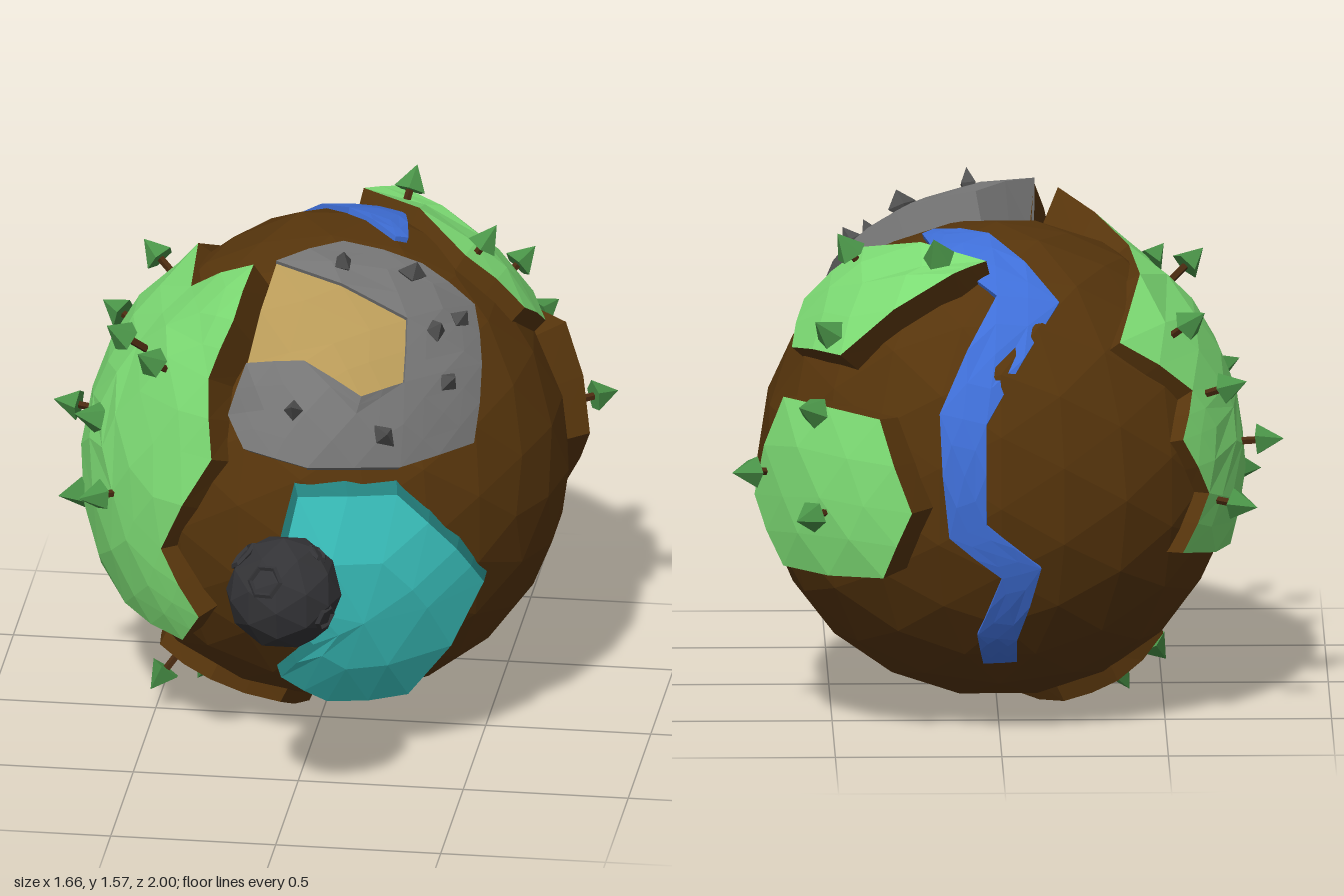
import * as THREE from 'three';

const BROWN = 0x57350c, GREEN = 0x7ddc74, TEAL = 0x3cc8c4, DEEP_TEAL = 0x23807d, GREY = 0x777777,
  SAND = 0xb89a58, BLUE = 0x3f6fd8, LEAF = 0x4a9448, TRUNK = 0x4a2a10, DARK = 0x333336, ROCK = 0x505050;

const V = (p) => new THREE.Vector3(...p);
const UP = new THREE.Vector3(0, 1, 0);

function mesh(name, geometry, color) {
  const m = new THREE.Mesh(geometry, new THREE.MeshStandardMaterial({ color, flatShading: true }));
  m.name = name;
  return m;
}

function facets(triangles) {
  const g = new THREE.BufferGeometry().setFromPoints(triangles.flat());
  g.computeVertexNormals();
  return g;
}

// ground radius: a sphere with a gentle rise at the upper back
const RISE = new THREE.Vector3(0.1, 0.77, -0.63).normalize();
const ground = (p) => 0.72 * (1 + 0.07 * Math.max(0, (p.clone().normalize().dot(RISE) - 0.75) / 0.25));

// midpoint that keeps to the curve of the planet
const mid = (a, b) => a.clone().add(b).setLength((a.length() + b.length()) / 2);
const next = (loop, i) => loop[(i + 1) % loop.length];
const splitLoop = (loop) => loop.flatMap((p, i) => [p, mid(p, next(loop, i))]);
const splitFaces = (faces) => faces.flatMap(([a, b, c]) => {
  const ab = mid(a, b), bc = mid(b, c), ca = mid(c, a);
  return [[a, ab, ca], [ab, b, bc], [ca, bc, c], [ab, bc, ca]];
});

// raised plate on the planet: a curved fan of faces with slanted sides, from an outline around the planet centre
function plate(name, points, top, side, { spread = 0.07, base = 0.68 } = {}) {
  const outline = points.map(V);
  const centre = outline.reduce((s, p) => s.add(p), new THREE.Vector3()).divideScalar(outline.length);
  const turn = outline.reduce((s, p, i) => s.add(p.clone().cross(next(outline, i))), new THREE.Vector3());
  if (turn.dot(centre) < 0) outline.reverse();
  const hub = centre.clone().setLength(outline.reduce((s, p) => s + p.length(), 0) / outline.length);
  const faces = splitFaces(outline.map((p, i) => [hub, p, next(outline, i)]));
  const loop = splitLoop(outline);
  const foot = loop.map((p) => p.clone().addScaledVector(p.clone().sub(centre), spread).setLength(base));
  const walls = loop.flatMap((p, i) => [[p, foot[i], next(foot, i)], [p, next(foot, i), next(loop, i)]]);
  const group = new THREE.Group();
  group.name = name;
  group.add(mesh(name + 'Top', facets(faces), top), mesh(name + 'Side', facets(walls), side));
  return group;
}

// larger region joined from several plates that share corners
function region(name, points, pieces, top, side, options) {
  const group = new THREE.Group();
  group.name = name;
  pieces.forEach((piece) => group.add(plate(name + 'Part', piece.map((i) => points[i]), top, side, options)));
  return group;
}

// tree pointing away from the planet; p is the middle of its crown
function tree(p) {
  const g = new THREE.Group();
  g.name = 'tree';
  const trunk = mesh('trunk', new THREE.CylinderGeometry(0.012, 0.012, 0.13, 5), TRUNK);
  trunk.position.y = -0.08;
  g.add(trunk, mesh('crown', new THREE.ConeGeometry(0.05, 0.08, 5), LEAF));
  g.position.copy(V(p));
  g.quaternion.setFromUnitVectors(UP, V(p).normalize());
  return g;
}

export function createModel() {
  const model = new THREE.Group();
  model.name = 'smallPlanet';
  const planet = new THREE.Group();
  planet.name = 'planet';
  planet.position.set(0, 0.75, -0.23);
  model.add(planet);

  const soil = new THREE.IcosahedronGeometry(0.72, 3);
  const pos = soil.attributes.position;
  for (let i = 0; i < pos.count; i++) {
    const p = new THREE.Vector3().fromBufferAttribute(pos, i);
    p.setLength(ground(p));
    pos.setXYZ(i, p.x, p.y, p.z);
  }
  soil.computeVertexNormals();
  planet.add(mesh('soil', soil, BROWN));

  // grasslands
  planet.add(region('largeMeadow', [
    [-0.19, 0.755, 0.33], [-0.225, 0.65, 0.52], [-0.29, 0.49, 0.6], [-0.27, 0.26, 0.68], [-0.43, -0.06, 0.63],
    [-0.31, -0.26, 0.67], [-0.37, -0.37, 0.59], [-0.57, -0.34, 0.4], [-0.7, -0.25, -0.09], [-0.55, -0.19, -0.48],
    [-0.63, -0.02, -0.42], [-0.55, 0.16, -0.49], [-0.58, 0.29, -0.39], [-0.36, 0.46, -0.49], [-0.4, 0.61, 0.18],
    [-0.6, 0.05, 0.47], [-0.72, 0.2, 0.02], [-0.55, 0.45, 0.26],
  ], [[0, 1, 2, 17, 14], [2, 3, 4, 15, 17], [4, 5, 6, 7, 15], [7, 8, 16, 15], [15, 16, 17],
    [8, 9, 10, 16], [10, 11, 12, 16], [12, 13, 14, 17, 16]], GREEN, BROWN, { spread: 0.2 }));
  planet.add(plate('upperMeadow', [
    [0.04, 0.7, -0.43], [0.14, 0.68, -0.51], [0.48, 0.43, -0.51],
    [0.62, 0.39, -0.22], [0.58, 0.5, -0.05], [0.4, 0.66, -0.05],
  ], GREEN, BROWN));
  planet.add(plate('backMeadow', [
    [0.65, 0.29, -0.45], [0.365, 0.27, -0.68], [0.27, 0, -0.77],
    [0.355, -0.21, -0.72], [0.65, -0.23, -0.45], [0.735, -0.03, -0.36],
  ], GREEN, BROWN, { spread: 0.14, base: 0.7 }));
  planet.add(plate('lowerMeadow', [
    [-0.49, -0.55, 0.21], [-0.32, -0.6, 0.34], [-0.11, -0.67, 0.32], [-0.05, -0.745, 0.12],
    [-0.2, -0.73, -0.1], [-0.36, -0.65, -0.18], [-0.5, -0.55, 0.02],
  ], GREEN, BROWN, { spread: 0.14 }));

  // lake
  planet.add(plate('lake', [
    [0, 0.18, 0.74], [0.29, 0.17, 0.66], [0.46, -0.03, 0.58], [0.53, -0.17, 0.49], [0.3, -0.55, 0.49],
    [0.06, -0.57, 0.53], [-0.07, -0.47, 0.6], [0.04, -0.32, 0.69], [-0.07, -0.16, 0.74],
  ], TEAL, DEEP_TEAL, { spread: 0.16, base: 0.7 }));

  // rocky plateau wrapped around a sand hollow
  const hollow = [[-0.18, 0.535, 0.57], [0, 0.566, 0.6], [0.18, 0.48, 0.65],
    [0.3, 0.5, 0.57], [0.29, 0.65, 0.43], [-0.12, 0.78, 0.35]];
  planet.add(region('plateau', [
    ...hollow, [-0.23, 0.38, 0.61], [-0.17, 0.31, 0.7], [0.03, 0.28, 0.75], [0.3, 0.26, 0.66], [0.5, 0.28, 0.49],
    [0.505, 0.48, 0.35], [0.46, 0.6, 0.18], [0.3, 0.72, 0.17], [0.06, 0.78, 0.17],
  ], [[1, 0, 6, 7, 8], [3, 2, 1, 8, 9], [3, 9, 10, 11], [4, 3, 11, 12], [5, 4, 12, 13, 14]],
  GREY, GREY, { spread: 0.1 }));
  planet.add(plate('sand', hollow.map((p) => p.map((v) => v * 0.985)), SAND, BROWN));

  // river: short reaches along a winding course (x, y, z, half width)
  const course = [[0.2, 0.68, -0.05, 0.02], [0.1, 0.67, -0.23, 0.09], [-0.08, 0.56, -0.45, 0.09],
    [0.11, 0.26, -0.66, 0.07], [0.1, -0.07, -0.71, 0.06], [-0.06, -0.2, -0.68, 0.06],
    [0.01, -0.42, -0.58, 0.06], [0, -0.51, -0.5, 0.05]];
  const at = (i) => V(course[Math.min(Math.max(i, 0), course.length - 1)].slice(0, 3));
  const banks = course.flatMap((c, i) => {
    const across = at(i + 1).sub(at(i - 1)).cross(at(i)).normalize();
    return [1, -1].map((s) => {
      const p = at(i).addScaledVector(across, s * c[3]);
      return p.setLength(ground(p) + 0.008).toArray();
    });
  });
  const reaches = course.slice(1).map((c, i) => [2 * i, 2 * i + 1, 2 * i + 3, 2 * i + 2]);
  planet.add(region('river', banks, reaches, BLUE, BLUE, { spread: 0 }));

  // trees
  [[-0.59, 0.5, -0.35], [-0.71, 0.3, -0.36], [-0.74, -0.06, -0.41], [-0.82, 0.08, -0.13], [-0.49, 0.51, 0.52],
    [-0.6, 0.53, 0.37], [-0.66, 0.05, 0.52], [-0.7, 0.22, 0.3], [-0.76, -0.08, 0.2],
    [0.46, 0.69, -0.14], [0.19, 0.74, -0.44], [0.53, 0.5, -0.45],
    [0.58, 0.28, -0.59], [0.77, 0.06, -0.46], [0.59, -0.03, -0.7],
    [-0.49, -0.65, 0.24], [-0.38, -0.69, 0.04]].forEach((p) => planet.add(tree(p)));

  // pointed stones on the plateau
  [[-0.02, 0.44, 0.69], [0.42, 0.47, 0.48], [0.25, 0.36, 0.66], [0.08, 0.77, 0.32], [0.37, 0.6, 0.4],
    [0.28, 0.72, 0.25], [0.43, 0.6, 0.3]].forEach((p, i) => {
    const stone = mesh('stone', new THREE.OctahedronGeometry(0.05), ROCK);
    stone.scale.set(0.6 + 0.15 * (i % 3), 1, 0.65);
    stone.position.copy(V(p));
    stone.quaternion.setFromUnitVectors(UP, V(p).normalize());
    stone.rotateY(i * 1.3);
    planet.add(stone);
  });

  // moon with crater rims
  const moon = new THREE.Group();
  moon.name = 'moon';
  moon.position.set(0, 0.75, 0.82);
  moon.add(mesh('moonBody', new THREE.IcosahedronGeometry(0.175, 1), DARK));
  [[-0.04, 0.09, 0.14, 0.048], [-0.12, 0.11, 0, 0.045], [0.1, 0.13, 0, 0.028], [0.13, -0.04, 0.08, 0.035],
    [0.07, -0.06, -0.14, 0.045], [-0.12, -0.08, -0.09, 0.035]].forEach(([x, y, z, r]) => {
    const rim = mesh('craterRim', new THREE.TorusGeometry(r, 0.009, 4, 6), DARK);
    const dir = new THREE.Vector3(x, y, z).normalize();
    rim.position.copy(dir).multiplyScalar(0.164);
    rim.quaternion.setFromUnitVectors(new THREE.Vector3(0, 0, 1), dir);
    moon.add(rim);
  });
  model.add(moon);

  return model;
}
